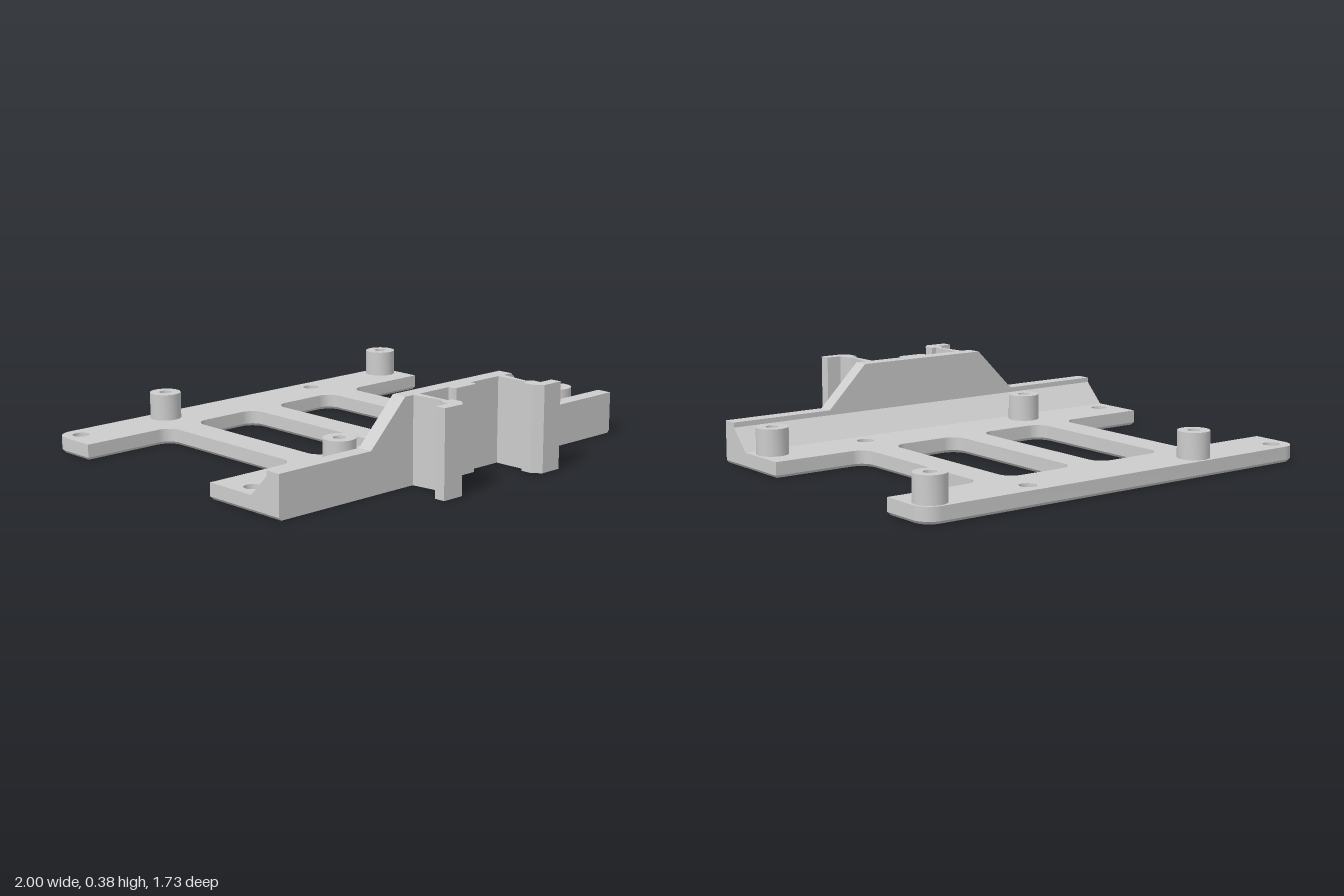
import * as THREE from 'three';
import { mergeGeometries, toCreasedNormals } from 'three/addons/utils/BufferGeometryUtils.js';

const K = 0.5523; // bezier factor for a quarter circle
const SEG = 12;

// Traces corners [x, z, radius] in plan; plan shapes use y = -z.
function trace(path, corners) {
  const n = corners.length;
  corners.forEach(([x, z, r = 0], i) => {
    const p = new THREE.Vector2(x, -z);
    const a = corners[(i + n - 1) % n], b = corners[(i + 1) % n];
    const toA = new THREE.Vector2(a[0], -a[1]).sub(p).normalize();
    const toB = new THREE.Vector2(b[0], -b[1]).sub(p).normalize();
    const at = (dir, d) => p.clone().addScaledVector(dir, d);
    const s = at(toA, r), e = at(toB, r);
    if (i === 0) path.moveTo(s.x, s.y); else path.lineTo(s.x, s.y);
    if (r) {
      const c = at(toA, r * (1 - K)), d = at(toB, r * (1 - K));
      path.bezierCurveTo(c.x, c.y, d.x, d.y, e.x, e.y);
    }
  });
  path.closePath();
  return path;
}

const circle = (path, x, z, r) => path.absarc(x, -z, r, 0, Math.PI * 2, false);

// Extrudes a plan shape upward from y0 to y1.
function rise(shape, y0, y1) {
  const g = new THREE.ExtrudeGeometry(shape, { depth: y1 - y0, bevelEnabled: false, curveSegments: SEG });
  g.rotateX(-Math.PI / 2).translate(0, y0, 0);
  return toCreasedNormals(g, 0.5);
}

// Flat plate with a chamfer on the bottom edges only.
function chamferedPlate(shape, thickness, chamfer, frontZ) {
  const depth = thickness - chamfer;
  const body = new THREE.ExtrudeGeometry(shape, {
    depth, curveSegments: SEG, bevelSegments: 1,
    bevelThickness: chamfer, bevelSize: 0.01, bevelOffset: -0.01
  });
  const src = body.attributes.position, kept = [];
  for (let i = 0; i < src.count; i += 3) {
    const tri = [i, i + 1, i + 2];
    if (tri.some(j => src.getZ(j) > depth + 1e-4)) continue;
    // the front edge stays square
    for (const j of tri) kept.push(src.getX(j), src.getY(j) < -frontZ + 0.015 ? -frontZ : src.getY(j), src.getZ(j));
  }
  const lower = new THREE.BufferGeometry();
  lower.setAttribute('position', new THREE.Float32BufferAttribute(kept, 3));
  const cap = new THREE.ShapeGeometry(shape, SEG).toNonIndexed();
  cap.deleteAttribute('uv');
  cap.deleteAttribute('normal');
  cap.translate(0, 0, depth);
  const g = mergeGeometries([lower, cap]);
  g.rotateX(-Math.PI / 2).translate(0, chamfer, 0);
  return toCreasedNormals(g, 0.5);
}

export function createModel() {
  const group = new THREE.Group();
  const grey = new THREE.MeshStandardMaterial({ color: 0xcccccc });
  grey.name = 'light grey plastic';
  const add = (name, geometry) => {
    const mesh = new THREE.Mesh(geometry, grey);
    mesh.name = name;
    group.add(mesh);
  };

  const T = 0.07, LOW = 0.187, TOP = 0.378, F = 0.065;
  const BACK = -0.865, Z0 = -0.617, Z1 = 0.203, WALL = 0.547, FRONT = 0.617;
  const holeRows = [-0.783, 0.367];
  const bossXs = [-0.449, 0.917], screwXs = [-0.918, 0.445];

  // Base plate: two cross bars joined by three struts (clockwise outline, counter-clockwise holes)
  const plate = trace(new THREE.Shape(), [
    [-1, BACK, 0.08], [1, BACK, 0.08], [1, Z0], [0.555, Z0, F], [0.555, Z1, F], [1, Z1],
    [1, FRONT], [-1, FRONT], [-1, Z1], [-0.555, Z1, F], [-0.555, Z0, F], [-1, Z0]
  ]);
  for (const [x0, x1] of [[-0.415, -0.069], [0.067, 0.412]]) {
    plate.holes.push(trace(new THREE.Path(), [[x0, Z1, F], [x1, Z1, F], [x1, Z0, F], [x0, Z0, F]]));
  }
  for (const z of holeRows) {
    for (const x of screwXs) plate.holes.push(circle(new THREE.Path(), x, z, 0.037));
    for (const x of bossXs) plate.holes.push(circle(new THREE.Path(), x, z, 0.027));
  }
  add('basePlate', chamferedPlate(plate, T, 0.012, FRONT));

  // Hollow standoffs
  for (const z of holeRows) for (const x of bossXs) {
    const ring = circle(new THREE.Shape(), x, z, 0.07);
    ring.holes.push(circle(new THREE.Path(), x, z, 0.027));
    add('standoff', rise(ring, T, LOW));
  }

  // Front wall with raised middle
  const wall = new THREE.Shape([
    [-1, T], [1, T], [1, LOW], [0.512, LOW], [0.321, TOP], [-0.321, TOP], [-0.512, LOW], [-1, LOW]
  ].map(p => new THREE.Vector2(...p)));
  add('frontWall', new THREE.ExtrudeGeometry(wall, { depth: FRONT - WALL, bevelEnabled: false }).translate(0, 0, WALL));

  // Sloped brace behind the wall
  const brace = new THREE.Shape([[-0.453, T], [-WALL, T], [-WALL, 0.165]].map(p => new THREE.Vector2(...p)));
  add('wallBrace', new THREE.ExtrudeGeometry(brace, { depth: 2, bevelEnabled: false })
    .rotateY(Math.PI / 2).translate(-1, 0, 0));

  // Centre rib on the wall
  add('centreRib', rise(trace(new THREE.Shape(), [
    [-0.068, FRONT], [0.067, FRONT], [0.067, 0.64], [0.055, 0.652], [-0.056, 0.652], [-0.068, 0.64]
  ]), 0, TOP));

  // Pair of mirrored clip hooks
  for (const s of [-1, 1]) {
    const hook = [
      [0.238, FRONT], [0.274, FRONT], [0.256, 0.756], [0.28, 0.782], [0.28, 0.815], [0.35, 0.815],
      [0.35, 0.865], [0.247, 0.865], [0.215, 0.828], [0.215, 0.777], [0.24, 0.777]
    ].map(([x, z]) => [s * x, z]);
    add(s > 0 ? 'leftHook' : 'rightHook', rise(trace(new THREE.Shape(), hook), 0, TOP));
  }
  return group;
}
